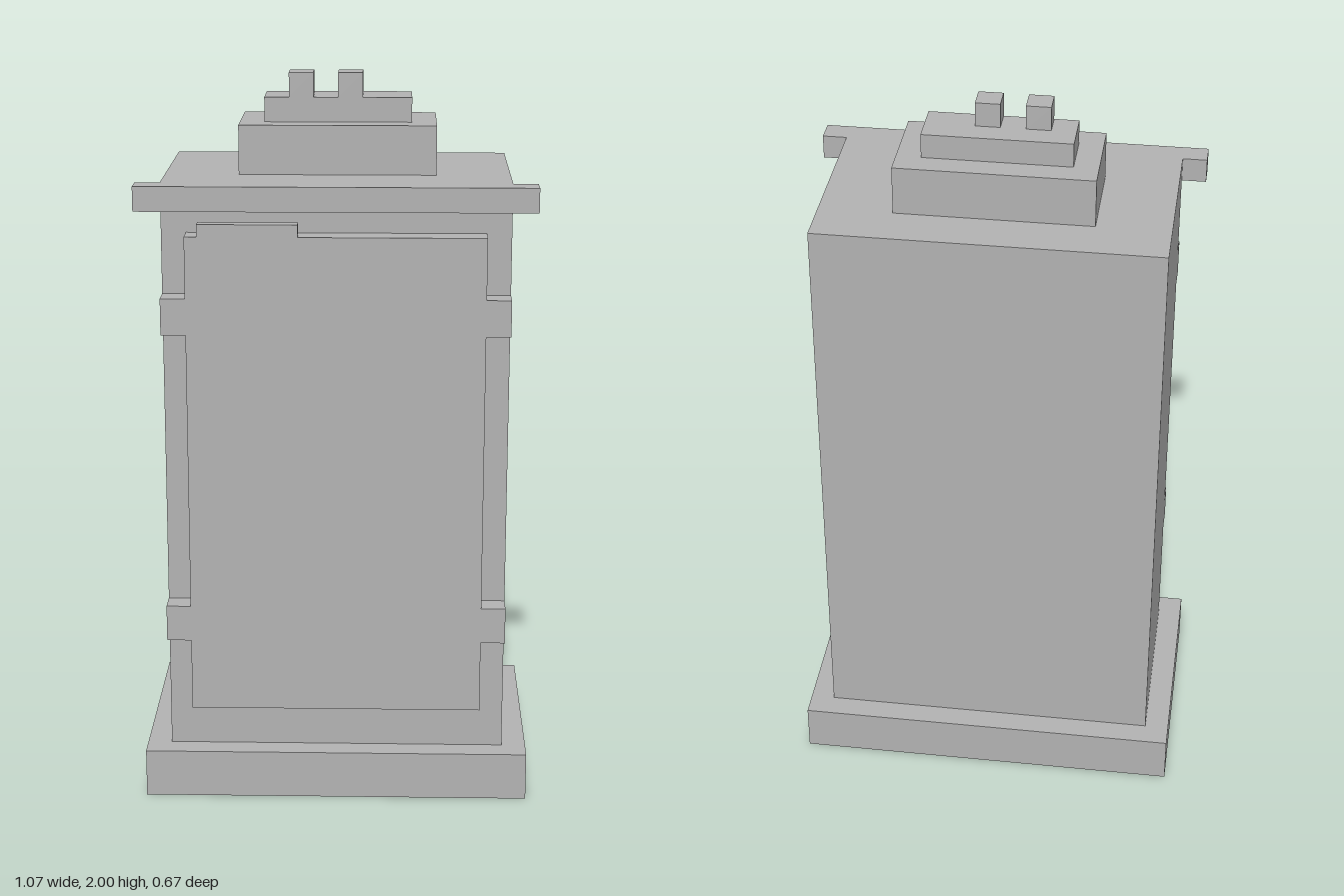
import * as THREE from 'three';

export function createModel() {
  const model = new THREE.Group();
  model.name = 'cabinet';
  const grey = new THREE.MeshStandardMaterial({ color: 0xb2b2b2 });
  grey.name = 'grey';

  const U = 1 / 15; // module size on which all parts are laid out

  // Box given by its low and high corners, in modules
  function block(name, [x0, y0, z0], [x1, y1, z1]) {
    const geometry = new THREE.BoxGeometry((x1 - x0) * U, (y1 - y0) * U, (z1 - z0) * U);
    const mesh = new THREE.Mesh(geometry, grey);
    mesh.position.set(((x0 + x1) / 2) * U, ((y0 + y1) / 2) * U, ((z0 + z1) / 2) * U);
    mesh.name = name;
    model.add(mesh);
  }

  // Main case
  block('base', [-8, 0, -5], [8, 2, 5]);
  block('body', [-7, 2, -4], [7, 26, 4]);
  block('cornice', [-8, 25, 4], [8, 26, 5]);

  // Door with a thin lip on its top edge
  block('door', [-6, 4, 4], [6, 24, 5]);
  block('doorLip', [-5.5, 24, 4.5], [-1.5, 24.5, 5]);

  // Hinges, two on each side of the door
  for (const y of [7, 20]) {
    block('hingeRight', [-7, y, 4], [-6, y + 1.5, 5]);
    block('hingeLeft', [6, y, 4], [7, y + 1.5, 5]);
  }

  // Stepped crown with two small posts
  block('crownLower', [-4, 26, -2], [4, 28, 2]);
  block('crownUpper', [-3, 28, -1], [3, 29, 1]);
  for (const x of [-2, 0]) block('post', [x, 29, 0], [x + 1, 30, 1]);

  return model;
}
